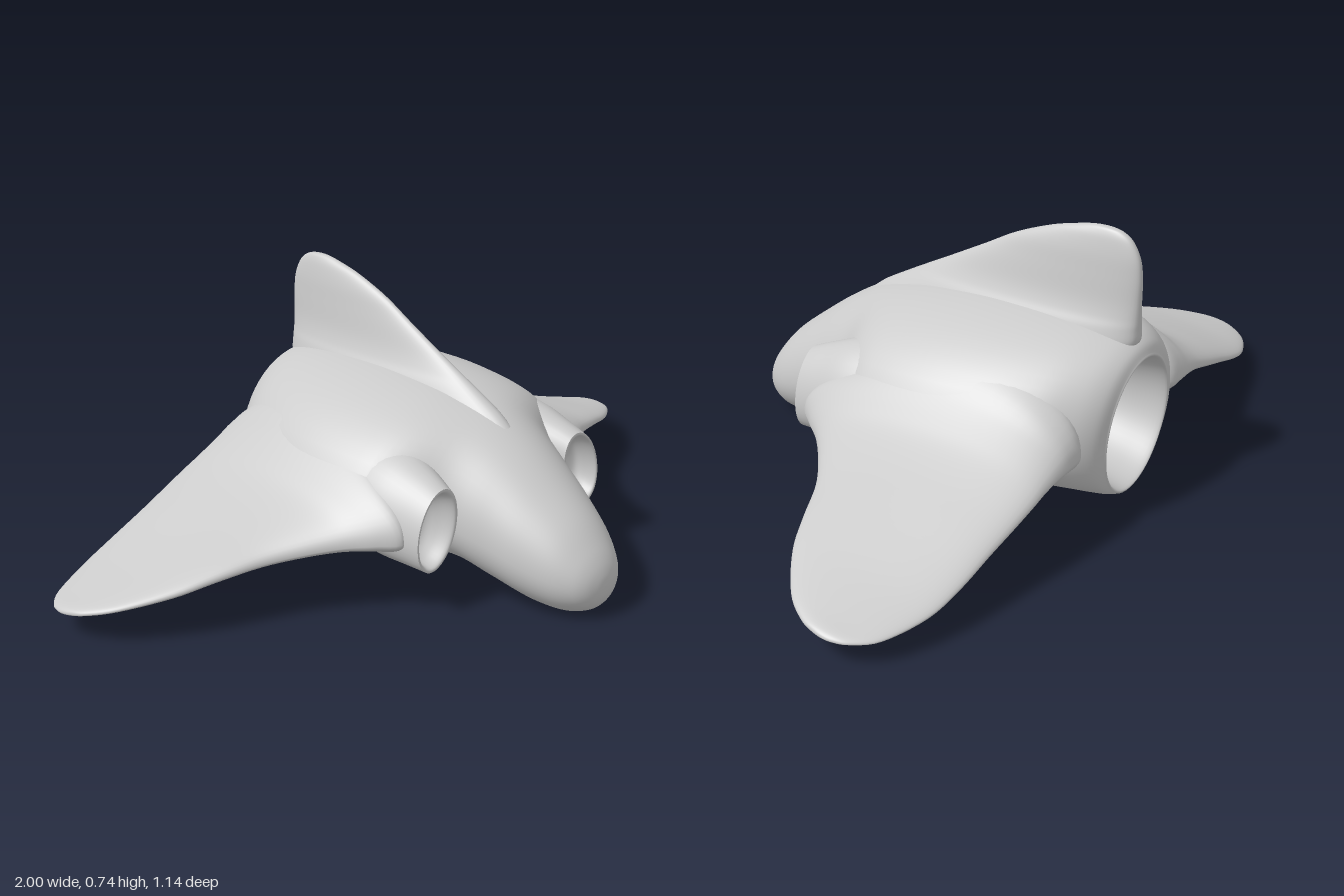
import * as THREE from 'three';

const { lerp } = THREE.MathUtils;
const material = new THREE.MeshStandardMaterial({ color: 0xcccccc, side: THREE.DoubleSide });

// Smoothly interpolate a short table of stations into n steps per span.
function refine(stations, n) {
  const out = [];
  const last = stations.length - 1;
  for (let i = 0; i < last; i++) {
    const [a, b, c, d] = [Math.max(i - 1, 0), i, i + 1, Math.min(i + 2, last)].map((k) => stations[k]);
    for (let s = 0; s < n; s++) {
      const t = s / n;
      out.push(b.map((v, k) => 0.5 * (2 * v + (c[k] - a[k]) * t
        + (2 * a[k] - 5 * v + 4 * c[k] - d[k]) * t * t
        + (3 * v - a[k] - 3 * c[k] + d[k]) * t * t * t)));
    }
  }
  out.push(stations[last]);
  return out;
}

// Skin closed rings; point(station, angle) gives [x, y, z].
// side = -1 mirrors in x, flip turns the faces round.
function loft(name, stations, point, { sides = 56, side = 1, flip = false } = {}) {
  const rows = refine(stations, 5);
  const positions = [];
  const index = [];
  rows.forEach((row, i) => {
    for (let j = 0; j < sides; j++) {
      const [x, y, z] = point(row, (j / sides) * Math.PI * 2);
      positions.push(x * side, y, z);
      if (i === rows.length - 1) continue;
      const a = i * sides + j;
      const b = i * sides + (j + 1) % sides;
      const c = b + sides;
      const d = a + sides;
      if ((side > 0) !== flip) index.push(a, d, b, b, d, c);
      else index.push(a, b, d, b, c, d);
    }
  });
  const geometry = new THREE.BufferGeometry();
  geometry.setAttribute('position', new THREE.Float32BufferAttribute(positions, 3));
  geometry.setIndex(index);
  geometry.computeVertexNormals();
  const mesh = new THREE.Mesh(geometry, material);
  mesh.name = name;
  return mesh;
}

// Body section: [z, half width, top, bottom, widest height, backward tilt]
function bodyPoint([z, w, top, bottom, mid, tilt], a) {
  const s = Math.sin(a);
  const y = mid + s * (s > 0 ? top - mid : mid - bottom);
  return [w * Math.cos(a), y, z - tilt * (y - 0.2)];
}

// Wing section: [x, leading z, trailing z, leading y, trailing y, rise above, depth below]
function wingPoint([x, le, te, yLe, yTe, up, down], a) {
  const u = ((1 - Math.cos(a)) / 2) ** 1.1;
  const s = Math.sin(a);
  return [x, lerp(yLe, yTe, u) + s * (s > 0 ? up : down), lerp(le, te, u)];
}

// Fin section: [y, leading z, trailing z, half thickness], thickest near the rear
function finPoint([y, le, te, t], a) {
  const u = ((1 - Math.cos(a)) / 2) ** 1.3;
  return [t * Math.sin(a), y, lerp(te, le, u)];
}

// Intake section: [z, centre x, centre y, half width, half height], top leaning inwards
function intakePoint([z, cx, cy, rx, ry], a) {
  const dy = ry * Math.sin(a);
  return [cx + rx * Math.cos(a) - 0.18 * dy, cy + dy, z];
}

export function createModel() {
  const model = new THREE.Group();
  model.name = 'aircraft';

  // Fuselage with rounded nose, broad shoulders and open tail
  model.add(loft('fuselage', [
    [0.57, 0, 0.09, 0.09, 0.09, 0],
    [0.567, 0.03, 0.118, 0.06, 0.09, 0],
    [0.555, 0.065, 0.15, 0.034, 0.093, 0],
    [0.53, 0.095, 0.188, 0.014, 0.1, 0],
    [0.48, 0.127, 0.245, 0.001, 0.115, 0],
    [0.4, 0.158, 0.31, 0.006, 0.145, 0],
    [0.3, 0.188, 0.383, 0.033, 0.185, 0],
    [0.2, 0.235, 0.438, 0.07, 0.22, 0],
    [0.1, 0.35, 0.47, 0.093, 0.235, 0],
    [0, 0.385, 0.49, 0.105, 0.238, 0],
    [-0.15, 0.395, 0.504, 0.11, 0.238, 0],
    [-0.3, 0.375, 0.504, 0.1, 0.238, 0],
    [-0.42, 0.325, 0.493, 0.077, 0.238, 0.02],
    [-0.5, 0.26, 0.472, 0.055, 0.236, 0.045],
    [-0.542, 0.208, 0.446, 0.043, 0.232, 0.06],
    [-0.557, 0.165, 0.42, 0.04, 0.23, 0.066],
  ], bodyPoint));

  // Exhaust duct, running inwards from the tail rim
  model.add(loft('exhaustDuct', [
    [-0.557, 0.165, 0.42, 0.04, 0.23, 0.066],
    [-0.553, 0.155, 0.408, 0.05, 0.23, 0.066],
    [-0.48, 0.146, 0.395, 0.075, 0.235, 0.04],
    [-0.36, 0.125, 0.37, 0.11, 0.24, 0],
    [-0.28, 0.08, 0.325, 0.16, 0.243, 0],
    [-0.25, 0, 0.245, 0.245, 0.245, 0],
  ], bodyPoint));

  // Tail fin with flared foot
  model.add(loft('tailFin', [
    [0.42, 0.24, -0.52, 0.09],
    [0.45, 0.2, -0.552, 0.082],
    [0.49, 0.13, -0.555, 0.068],
    [0.52, 0.075, -0.555, 0.054],
    [0.56, 0, -0.555, 0.043],
    [0.62, -0.11, -0.555, 0.035],
    [0.67, -0.2, -0.548, 0.029],
    [0.71, -0.3, -0.528, 0.021],
    [0.73, -0.375, -0.503, 0.014],
    [0.738, -0.415, -0.475, 0.008],
    [0.74, -0.44, -0.44, 0],
  ], finPoint));

  for (const side of [1, -1]) {
    const label = side > 0 ? 'left' : 'right';

    // Drooping wing, its root swelling up into the shoulder
    model.add(loft(label + 'Wing', [
      [0.2, 0.1, -0.5, 0.23, 0.24, 0.215, 0.11],
      [0.245, 0.11, -0.537, 0.225, 0.24, 0.207, 0.1],
      [0.3, 0.15, -0.54, 0.215, 0.237, 0.18, 0.083],
      [0.35, 0.215, -0.537, 0.207, 0.23, 0.14, 0.064],
      [0.4, 0.17, -0.533, 0.203, 0.218, 0.107, 0.05],
      [0.45, 0.11, -0.53, 0.195, 0.202, 0.085, 0.042],
      [0.52, 0.05, -0.522, 0.183, 0.177, 0.07, 0.036],
      [0.61, -0.01, -0.51, 0.167, 0.145, 0.058, 0.031],
      [0.72, -0.055, -0.498, 0.148, 0.107, 0.044, 0.026],
      [0.82, -0.1, -0.478, 0.125, 0.079, 0.033, 0.021],
      [0.93, -0.18, -0.43, 0.098, 0.063, 0.02, 0.013],
      [0.98, -0.245, -0.38, 0.082, 0.064, 0.013, 0.008],
      [0.996, -0.29, -0.345, 0.074, 0.067, 0.007, 0.005],
      [1, -0.32, -0.32, 0.07, 0.07, 0, 0],
    ], wingPoint, { side }));

    // Intake fairing, melting back into the shoulder
    model.add(loft(label + 'IntakeFairing', [
      [0.255, 0.275, 0.23, 0.068, 0.106],
      [0.2, 0.27, 0.241, 0.082, 0.117],
      [0.1, 0.26, 0.258, 0.108, 0.133],
      [-0.02, 0.24, 0.268, 0.12, 0.135],
      [-0.15, 0.22, 0.27, 0.09, 0.11],
      [-0.24, 0.21, 0.28, 0, 0],
    ], intakePoint, { side, sides: 40 }));

    // Intake duct, hollowed inwards from the lip
    model.add(loft(label + 'IntakeDuct', [
      [0.255, 0.275, 0.23, 0.068, 0.106],
      [0.252, 0.277, 0.23, 0.059, 0.096],
      [0.22, 0.284, 0.232, 0.046, 0.082],
      [0.195, 0.289, 0.235, 0.03, 0.055],
      [0.185, 0.29, 0.235, 0, 0],
    ], intakePoint, { side, sides: 40, flip: true }));
  }
  return model;
}
